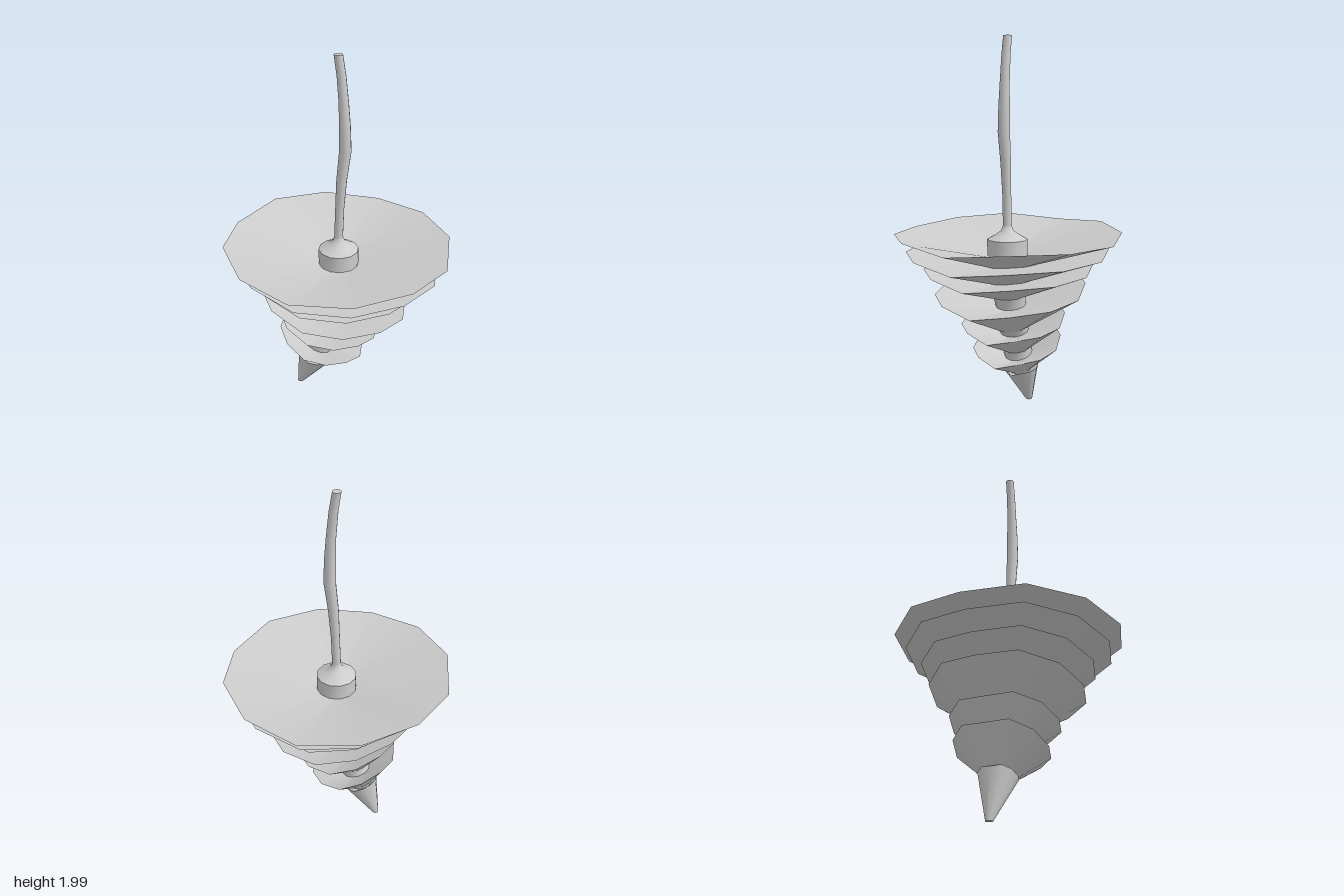
import * as THREE from 'three';

const SIDES = 12;

// Tilted ring around (x, y): slope tilts it along x, wave lifts the rim off the axes
function ring(x, y, r, slope = 0, rz = r, wave = 0) {
  const pts = [];
  for (let i = 0; i < SIDES; i++) {
    const a = (i / SIDES) * Math.PI * 2;
    const c = Math.cos(a), s = Math.sin(a);
    const lift = wave * Math.sin(2 * a) ** 2 * Math.abs(c);
    pts.push(new THREE.Vector3(x + r * c, y + r * c * slope + lift, rz * s));
  }
  return pts;
}

// Smooth skin through a list of rings (upward order faces outward)
function loft(rings) {
  const index = [];
  for (let k = 0; k < rings.length - 1; k++) {
    for (let i = 0; i < SIDES; i++) {
      const j = (i + 1) % SIDES;
      const a = k * SIDES + i, b = k * SIDES + j;
      index.push(a, a + SIDES, b, b, a + SIDES, b + SIDES);
    }
  }
  const g = new THREE.BufferGeometry().setFromPoints(rings.flat());
  g.setIndex(index);
  g.computeVertexNormals();
  return g;
}

export function createModel() {
  const group = new THREE.Group();
  const material = new THREE.MeshStandardMaterial({ color: 0xcccccc, side: THREE.DoubleSide });
  const add = (name, rings, parent = group) => {
    const mesh = new THREE.Mesh(loft(rings), material);
    mesh.name = name;
    parent.add(mesh);
  };

  // Each tier: rim left x/y, rim right x/y, rim depth radius, foot x/y, foot radius
  const tiers = [
    [-0.60, 0.99, 0.59, 0.97, 0.595, 0.00, 0.82, 0.09],
    [-0.54, 0.93, 0.53, 0.865, 0.535, 0.00, 0.74, 0.09],
    [-0.46, 0.85, 0.43, 0.765, 0.45, -0.02, 0.66, 0.085],
    [-0.425, 0.745, 0.37, 0.615, 0.40, -0.05, 0.48, 0.08],
    [-0.33, 0.575, 0.21, 0.445, 0.28, -0.105, 0.355, 0.075],
    [-0.33, 0.445, 0.13, 0.295, 0.24, -0.145, 0.225, 0.06],
    [-0.235, 0.265, -0.05, 0.205, 0.10, -0.24, 0.01, 0.018],
  ];

  let above = null; // foot of the tier above, where the core ends
  tiers.forEach(([xl, yl, xr, yr, rz, fx, fy, fr], k) => {
    const isTip = k === tiers.length - 1;
    const tier = new THREE.Group();
    tier.name = isTip ? 'tip' : `tier${k + 1}`;
    group.add(tier);

    const slope = (yr - yl) / (xr - xl);
    const cx = (xl + xr) / 2, cy = (yl + yr) / 2;
    const rim = ring(cx, cy, (xr - xl) / 2, slope, rz, isTip ? 0.015 : 0.035);
    const footSlope = isTip ? 0 : slope;
    const foot = ring(fx, fy, fr, footSlope);
    add('underside', [foot, rim], tier);

    // Dish sinks from the rim to the core
    const t = isTip ? 0.9 : 0.62;
    const coreR = isTip ? 0.055 : Math.max(fr, 0.075);
    const inX = fx + (cx - fx) * t, inY = fy + (cy - fy) * t;
    const inner = k === 0 ? ring(0, 0.88, 0.105) : ring(inX, inY, coreR, slope);
    add('dish', [rim, inner], tier);

    // Core rises into the tier above
    if (above) add('core', [inner, above], tier);
    above = foot;
    if (isTip) add('tipEnd', [ring(fx, fy, 0.0001), foot], tier);
  });

  // Plug seated in the top dish
  add('plug', [ring(0, 0.87, 0.105), ring(0, 0.965, 0.105)]);

  // Flared shoulder running into the crooked stem
  add('shoulder', [
    ring(0, 0.965, 0.105), ring(0, 0.99, 0.06), ring(0, 1.01, 0.033), ring(0, 1.035, 0.023),
  ]);
  const stem = [
    [0, 1.035, 0.023], [0.006, 1.2, 0.023], [0.016, 1.36, 0.027], [0.035, 1.52, 0.031],
    [0.032, 1.65, 0.029], [0.027, 1.76, 0.025], [0.014, 1.9, 0.023], [-0.002, 2, 0.022],
  ];
  add('stem', stem.map(([x, y, r]) => ring(x, y, r)));
  add('stemEnd', [ring(-0.002, 2, 0.022), ring(-0.002, 2, 0.0001)]);

  return group;
}
